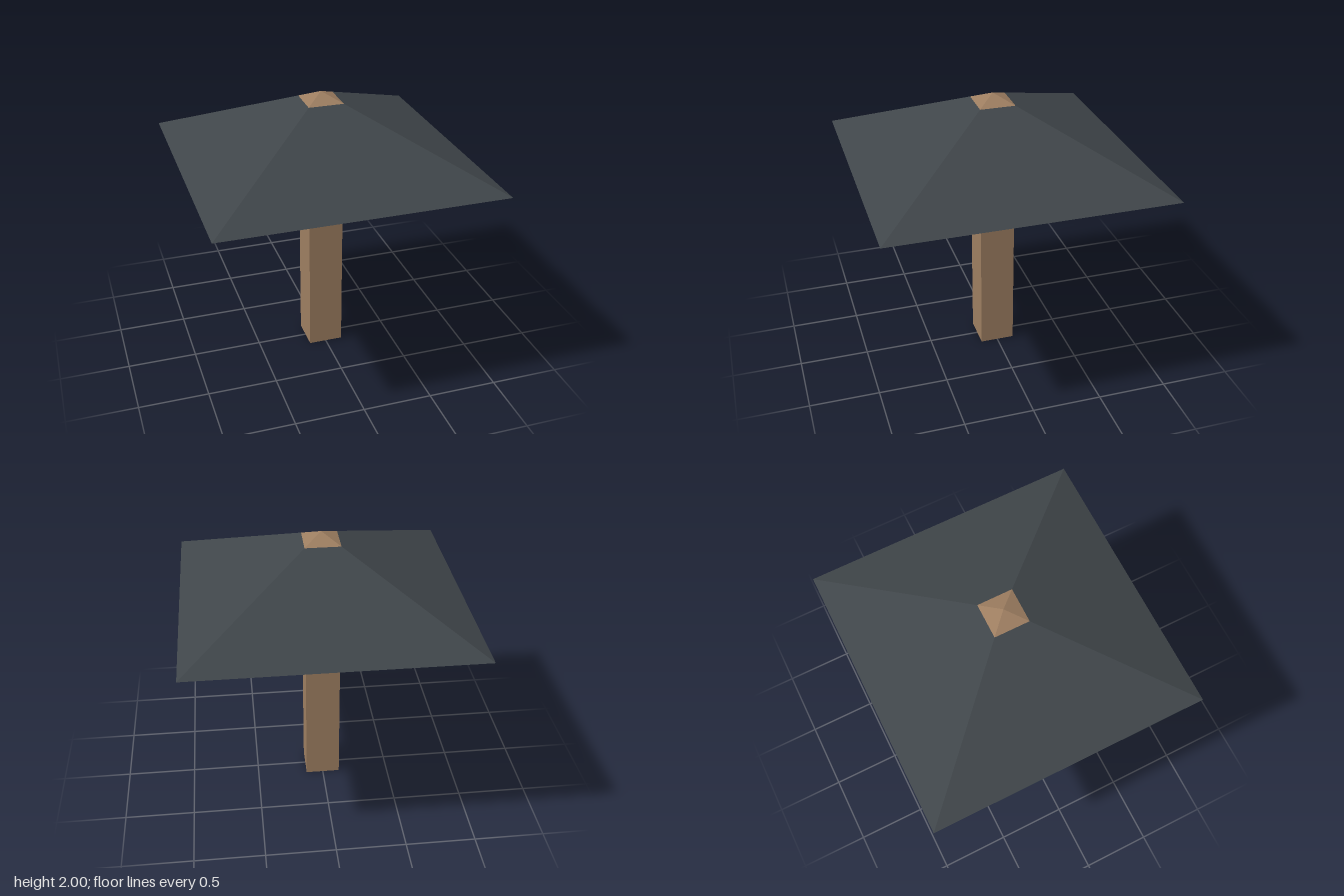
import * as THREE from 'three';

const wood = new THREE.MeshStandardMaterial({ color: 0x9c7d60 });
wood.name = 'wood';
const slate = new THREE.MeshStandardMaterial({ color: 0x3f4549 });
slate.name = 'slate';

// Square-plan solid from [half width, height] steps, with hard edges
function squareLathe(name, profile, material) {
  const points = profile.map(([half, y]) => new THREE.Vector2(half * Math.SQRT2, y));
  const geometry = new THREE.LatheGeometry(points, 4, Math.PI / 4).toNonIndexed();
  geometry.computeVertexNormals();
  const mesh = new THREE.Mesh(geometry, material);
  mesh.name = name;
  return mesh;
}

export function createModel() {
  const group = new THREE.Group();
  group.name = 'squareParasol';
  const half = 0.126;
  const slope = 0.5;

  // Post, its pointed tip flush with the roof slopes
  group.add(squareLathe('post', [
    [0, 0], [half, 0], [half, 2 - half * slope], [0, 2],
  ], wood));

  // Hollow roof: inner slopes, flat rim, outer slopes
  group.add(squareLathe('roof', [
    [half, 1.94 - half * slope], [0.88, 1.5], [1, 1.5], [half, 2 - half * slope],
  ], slate));

  return group;
}
